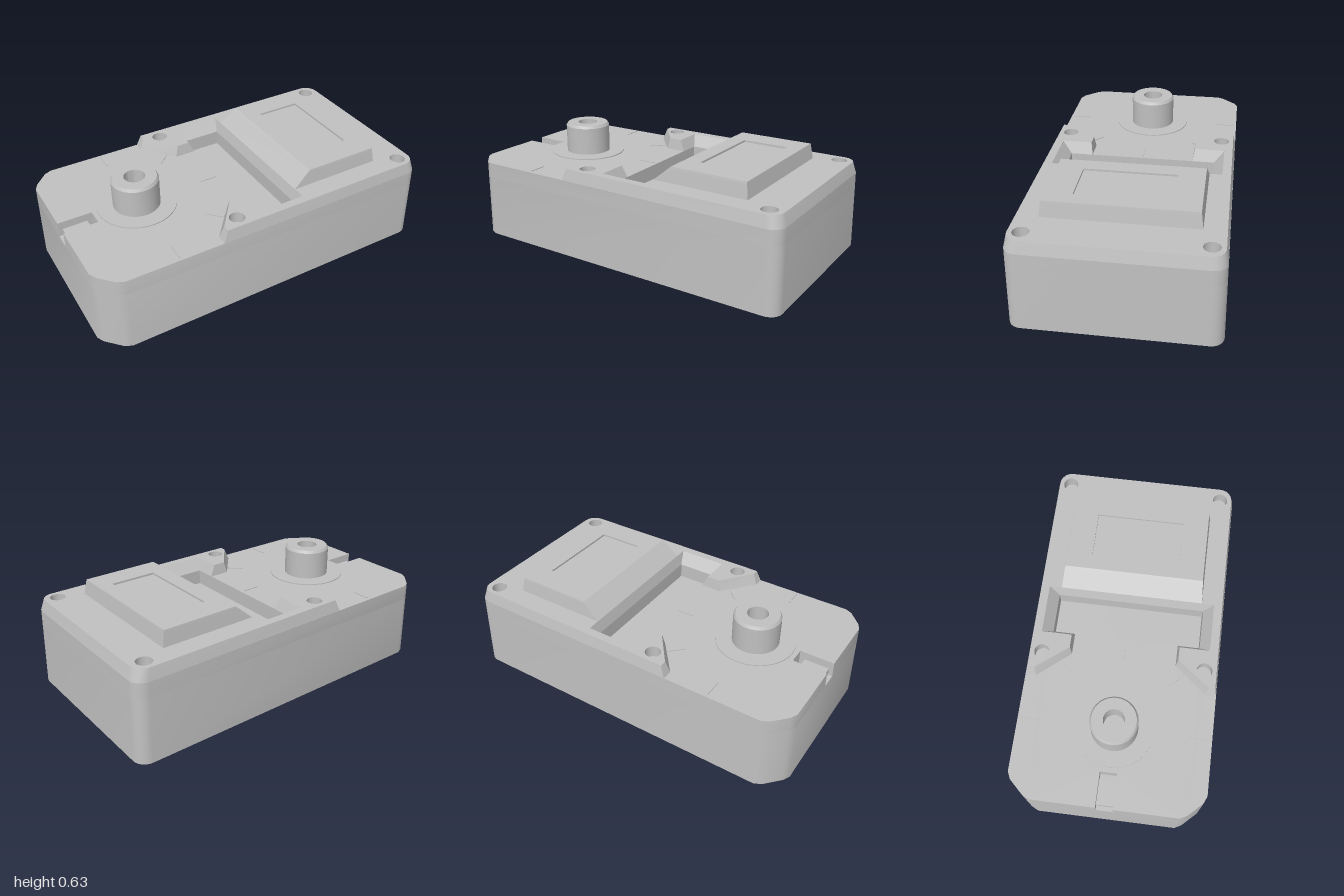
import * as THREE from 'three';
import { toCreasedNormals } from 'three/addons/utils/BufferGeometryUtils.js';

const V = (x, v) => new THREE.Vector2(x, v);
const pts = (list) => list.map(([x, v]) => V(x, v));

// Solid between two matching plan outlines (x, -z); holes run clockwise
function loft(lower, upper, y0, y1, { holes = [], top = true, bottom = false } = {}) {
  const pos = [];
  const put = (p, y) => pos.push(p.x, y, -p.y);
  const walls = (a, b) => a.forEach((p, i) => {
    const j = (i + 1) % a.length;
    put(p, y0); put(a[j], y0); put(b[j], y1);
    put(p, y0); put(b[j], y1); put(b[i], y1);
  });
  const cap = (ring, hs, y, flip) => {
    const all = [ring, ...hs].flat();
    for (const f of THREE.ShapeUtils.triangulateShape(ring, hs)) {
      (flip ? [f[0], f[2], f[1]] : f).forEach((k) => put(all[k], y));
    }
  };
  walls(lower, upper);
  holes.forEach((h) => walls(h, h));
  if (top) cap(upper, holes, y1, false);
  if (bottom) cap(lower, holes, y0, true);
  const g = new THREE.BufferGeometry();
  g.setAttribute('position', new THREE.Float32BufferAttribute(pos, 3));
  return toCreasedNormals(g, 0.5);
}

// Quarter round corner points
function corner(cx, cv, r, start, n = 6) {
  return Array.from({ length: n + 1 }, (_, i) => {
    const a = start + (i / n) * Math.PI / 2;
    return V(cx + r * Math.cos(a), cv + r * Math.sin(a));
  });
}

const rightEnd = (x, v, r) => [
  ...corner(x - r, -v + r, r, -Math.PI / 2),
  ...corner(x - r, v - r, r, 0),
];

// Housing plan, drawn in by i, with an optional slot in the left end
function bodyOutline(i, slot) {
  const left = [[-0.86, 0.543 - i], [-0.9, 0.525 - i], [-0.98 + i, 0.44], [-1 + i, 0.4]];
  const slotPts = slot
    ? [[-1 + i, 0.047], [-0.8, 0.047], [-0.8, -0.047], [-1 + i, -0.047]] : [];
  const mirror = left.map(([x, v]) => [x, -v]).reverse();
  return [...rightEnd(1 - i * 1.3, 0.543 - i, 0.07), ...pts([...left, ...slotPts, ...mirror])];
}

// Raised deck plan with two ears and the open pocket between them
function deckOutline(xr, w, r, xe, ear, tip, inner, px, pv, px2) {
  const half = [[xe, w], [xe, ear], [tip, inner], [px, inner], [px, pv], [px2, pv]];
  const mirror = half.map(([x, v]) => [x, -v]).reverse();
  return [...rightEnd(xr, w, r), ...pts([...half, ...mirror])];
}

const rect = (x0, x1, v) => pts([[x0, -v], [x1, -v], [x1, v], [x0, v]]);
const circle = (x, v, r, n = 24) => Array.from({ length: n }, (_, i) => {
  const a = -(i / n) * Math.PI * 2;
  return V(x + r * Math.cos(a), v + r * Math.sin(a));
});

export function createModel() {
  const model = new THREE.Group();
  const grey = new THREE.MeshStandardMaterial({ color: 0xc0c0c0 });
  grey.name = 'light grey';
  const add = (name, geometry) => {
    const mesh = new THREE.Mesh(geometry, grey);
    mesh.name = name;
    model.add(mesh);
    return mesh;
  };

  // Housing: solid base, then a layer holding the pocket and end slot
  add('housingBase', loft(bodyOutline(0, false), bodyOutline(0.006, false), 0, 0.36, { bottom: true }));
  add('housingTop', loft(bodyOutline(0.006, true), bodyOutline(0.0075, true), 0.36, 0.445, {
    holes: [rect(-0.04, 0.19, 0.42).reverse()],
  }));

  // Raised deck with sloping sides and four screw wells
  const wells = [-0.19, 0.895].flatMap((x) => [-0.455, 0.455].map((v) => circle(x, v, 0.043)));
  add('raisedDeck', loft(
    deckOutline(0.99, 0.535, 0.07, -0.31, 0.475, -0.16, 0.295, -0.04, 0.42, 0.19),
    deckOutline(0.972, 0.522, 0.07, -0.285, 0.485, -0.145, 0.305, -0.07, 0.475, 0.21),
    0.445, 0.51, { holes: wells },
  ));

  // Sloped cover with a shallow recessed panel
  add('coverBlock', loft(rect(0.21, 0.757, 0.405), rect(0.297, 0.745, 0.395), 0.51, 0.586));
  add('coverRim', loft(rect(0.297, 0.745, 0.395), rect(0.31, 0.743, 0.393), 0.586, 0.597, {
    holes: [rect(0.4, 0.66, 0.25).reverse()],
  }));

  // Output shaft with its flange and bore
  const profile = pts([[0.22, 0.44], [0.22, 0.451], [0.13, 0.451], [0.13, 0.61],
    [0.12, 0.626], [0.058, 0.626], [0.058, 0.5], [0, 0.5]]);
  add('outputShaft', toCreasedNormals(new THREE.LatheGeometry(profile, 40), 0.5))
    .position.x = -0.555;

  // Low bridge inside the end slot
  add('slotBridge', new THREE.BoxGeometry(0.14, 0.04, 0.094)).position.set(-0.9, 0.38, 0);

  // Fine index marks around the shaft: x, z, heading
  const marks = [[-0.555, -0.465, Math.PI / 2], [-0.555, 0.465, Math.PI / 2],
    [-0.24, -0.31, Math.PI / 4], [-0.24, 0.31, -Math.PI / 4], [-0.11, 0, 0]];
  marks.forEach(([x, z, turn]) => {
    const mark = add('indexMark', new THREE.BoxGeometry(0.1, 0.006, 0.01));
    mark.position.set(x, 0.446, z);
    mark.rotation.y = turn;
  });

  return model;
}
